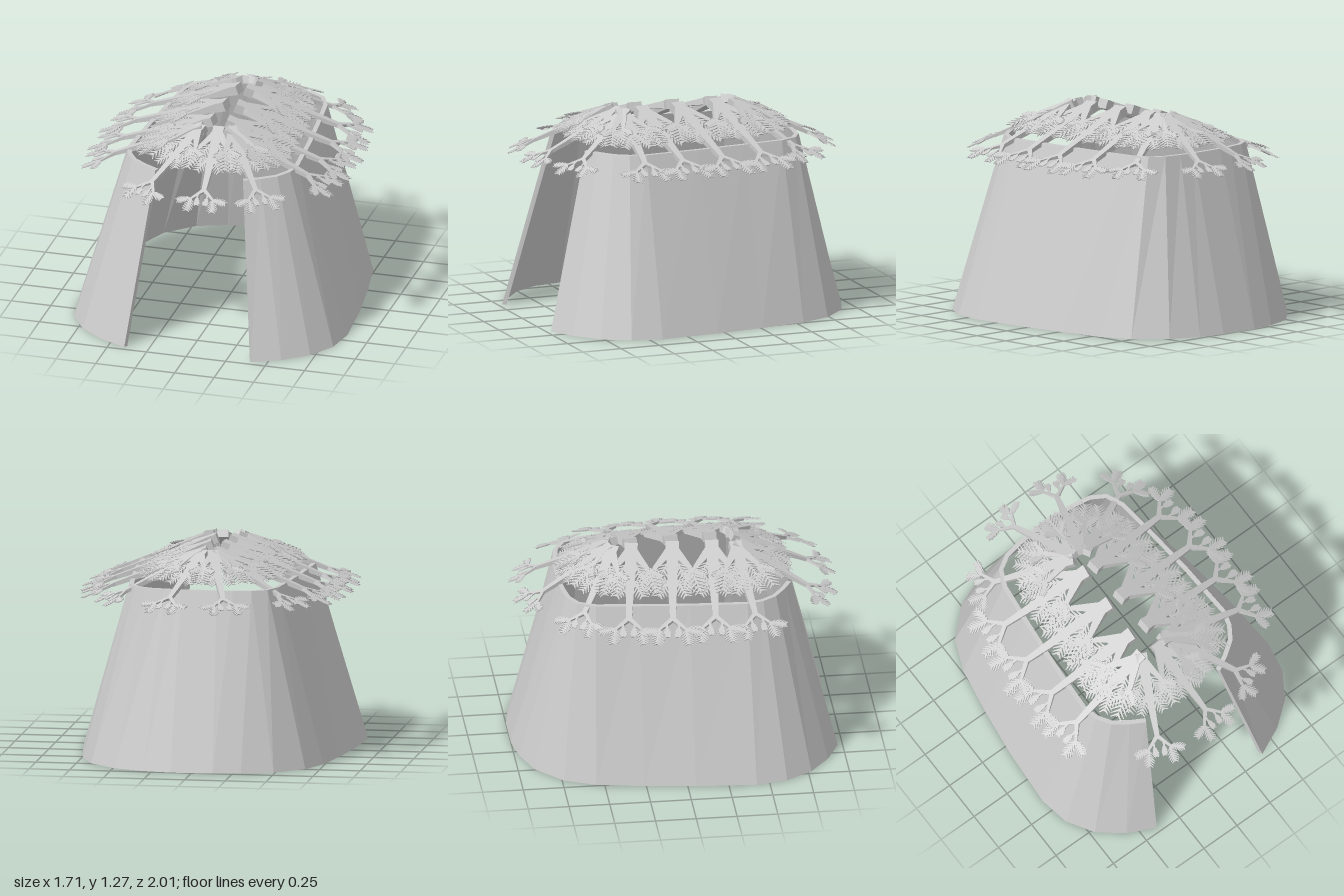
import * as THREE from 'three';

const V = (x, y, z) => new THREE.Vector3(x, y, z);

// Collects flat quads (corners anticlockwise from outside)
function quadBuilder() {
  const pos = [];
  return {
    quad(a, b, c, d) {
      for (const p of [a, b, c, a, c, d]) pos.push(p.x, p.y, p.z);
    },
    geometry() {
      const g = new THREE.BufferGeometry();
      g.setAttribute('position', new THREE.Float32BufferAttribute(pos, 3));
      g.computeVertexNormals();
      return g;
    },
  };
}

// Leaning wall: plan outline at the foot and at the top, from the right door jamb round to the back
const FOOT = [[0.4, 0.97], [0.57, 0.89], [0.72, 0.77], [0.82, 0.61], [0.855, 0.42], [0.83, 0.05],
  [0.79, -0.26], [0.74, -0.55], [0.66, -0.74], [0.49, -0.9], [0.3, -0.97], [0.13, -1]];
const HEAD = [[0.28, 0.7], [0.37, 0.65], [0.46, 0.585], [0.515, 0.5], [0.54, 0.4], [0.52, 0.05],
  [0.49, -0.26], [0.46, -0.52], [0.41, -0.63], [0.32, -0.685], [0.21, -0.705], [0.11, -0.715]];
const WALL_TOP = 1.08, WALL_THICK = 0.028;

function wallGeometry() {
  const mirror = (pts) => [...pts, ...pts.slice().reverse().map(([x, z]) => [-x, z])];
  const ring = (pts, y) => pts.map(([x, z]) => V(x, y, z));
  const inset = (pts) => pts.map((p, i) => {
    const a = pts[Math.max(i - 1, 0)], b = pts[Math.min(i + 1, pts.length - 1)];
    const dx = b[0] - a[0], dz = b[1] - a[1], k = WALL_THICK / Math.hypot(dx, dz);
    return [p[0] + dz * k, p[1] - dx * k];
  });
  const foot = mirror(FOOT), head = mirror(HEAD);
  const ob = ring(foot, 0), ot = ring(head, WALL_TOP);
  const ib = ring(inset(foot), 0), it = ring(inset(head), WALL_TOP);
  const q = quadBuilder(), n = ob.length - 1;
  for (let i = 0; i < n; i++) {
    const j = i + 1;
    q.quad(ob[i], ob[j], ot[j], ot[i]);
    q.quad(ib[j], ib[i], it[i], it[j]);
    q.quad(ot[i], ot[j], it[j], it[i]);
    q.quad(ib[i], ib[j], ob[j], ob[i]);
  }
  // Door jambs
  q.quad(ib[0], ob[0], ot[0], it[0]);
  q.quad(ob[n], ib[n], it[n], ot[n]);
  return q.geometry();
}

// One branch of the roof, lying along +x with length 1, its top face at y = 0
function branchGeometry() {
  const q = quadBuilder();
  const rad = THREE.MathUtils.degToRad;

  // Tapered bar in the xz plane; returns its far end
  function bar(x, z, deg, len, w0, w1) {
    const c = Math.cos(rad(deg)), s = Math.sin(rad(deg));
    const section = (d, w) => [[-w, 0], [w, 0], [w, -1.4 * w], [-w, -1.4 * w]]
      .map(([t, y]) => V(x + c * d - s * t, y, z + s * d + c * t));
    const a = section(0, w0 / 2), b = section(len, w1 / 2);
    for (let i = 0; i < 4; i++) {
      const j = (i + 1) % 4;
      q.quad(a[i], a[j], b[j], b[i]);
    }
    q.quad(a[3], a[2], a[1], a[0]);
    q.quad(b[0], b[1], b[2], b[3]);
    return [x + c * len, z + s * len];
  }

  // Fern leaf: a spine with pairs of pointed leaflets
  function fern(x, z, deg, len) {
    bar(x, z, deg, len, 0.016, 0.006);
    const pairs = 6;
    for (let i = 0; i < pairs; i++) {
      const f = (i + 0.8) / pairs, d = len * f * 0.92;
      const px = x + Math.cos(rad(deg)) * d, pz = z + Math.sin(rad(deg)) * d;
      const size = len * (0.2 + 0.22 * Math.sin(Math.PI * Math.min(f, 0.9)));
      for (const side of [-1, 1]) bar(px, pz, deg + side * 48, size, 0.018, 0.006);
    }
  }

  bar(0, 0, 0, 0.76, 0.1, 0.04);
  for (const side of [-1, 1]) {
    // Thick lower arms carrying three leaves
    const [ax, az] = bar(0.06, 0, side * 33, 0.24, 0.08, 0.035);
    for (const [deg, len] of [[-14, 0.2], [18, 0.24], [58, 0.13]]) fern(ax, az, side * deg, len);
    fern(0.2, side * 0.03, side * 24, 0.2);
    fern(0.36, side * 0.02, side * 26, 0.19);
    // Forked tip
    const [fx, fz] = bar(0.74, 0, side * 42, 0.14, 0.036, 0.022);
    fern(fx, fz, side * 8, 0.15);
    fern(fx, fz, side * 72, 0.13);
    const [gx, gz] = bar(0.79, side * 0.045, side * -2, 0.04, 0.022, 0.016);
    fern(gx, gz, side * -4, 0.09);
  }
  return q.geometry();
}

// Branch plan positions: [ridge x, ridge z, eave x, eave z]
const SIDE = [[0.05, 0.24, 0.82, 0.18], [0.04, 0, 0.82, -0.09], [0.03, -0.25, 0.78, -0.36],
  [0.08, 0.38, 0.8, 0.46], [0.05, -0.36, 0.62, -0.67], [0.03, -0.38, 0.21, -0.96]];
const FRONT = [[-0.08, 0.38, -0.34, 0.95], [0.03, 0.38, 0.08, 1], [0.1, 0.36, 0.46, 0.88]];
const RIDGE_Y = 1.275, EAVE_Y = 0.975;

export function createModel() {
  const model = new THREE.Group();
  const material = new THREE.MeshStandardMaterial({ color: 0xcccccc, flatShading: true, side: THREE.DoubleSide });

  const wall = new THREE.Mesh(wallGeometry(), material);
  wall.name = 'wall';
  model.add(wall);

  const roof = new THREE.Group();
  roof.name = 'branchRoof';
  model.add(roof);
  const geometry = branchGeometry();
  const mirrored = SIDE.map(([a, b, c, d]) => [-a, b, -c, d]);
  for (const [x0, z0, x1, z1] of [...SIDE, ...mirrored, ...FRONT]) {
    const start = V(x0, RIDGE_Y, z0);
    const along = V(x1, EAVE_Y, z1).sub(start);
    const length = along.length();
    along.normalize();
    const across = along.clone().cross(V(0, 1, 0)).normalize();
    const up = across.clone().cross(along);
    const branch = new THREE.Mesh(geometry, material);
    branch.name = 'roofBranch';
    branch.quaternion.setFromRotationMatrix(new THREE.Matrix4().makeBasis(along, up, across));
    branch.position.copy(start);
    branch.scale.setScalar(length);
    roof.add(branch);
  }
  return model;
}
